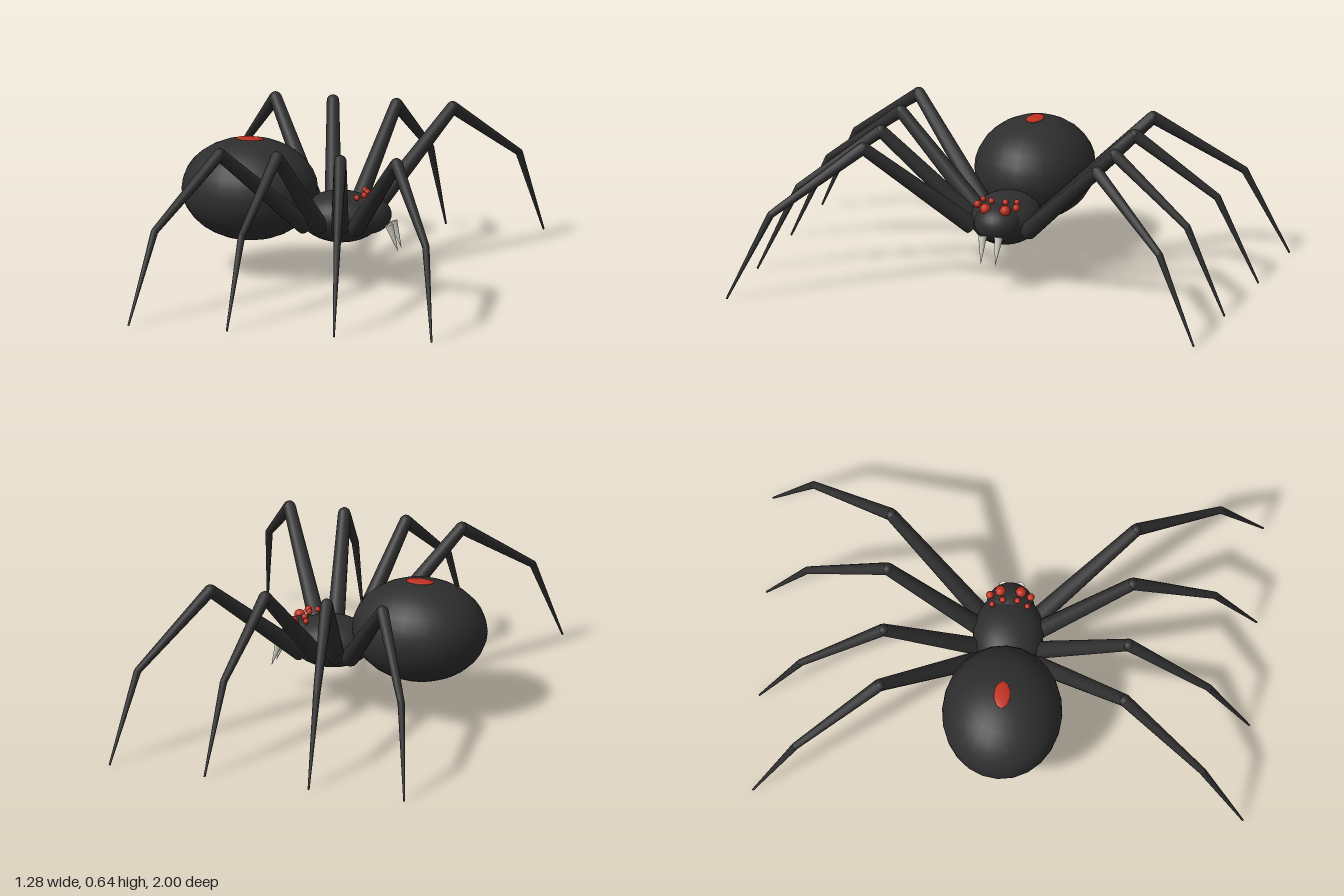
import * as THREE from 'three';

const V = (x, y, z) => new THREE.Vector3(x, y, z);
const mat = (color) => new THREE.MeshStandardMaterial({ color });

export function createModel() {
  const spider = new THREE.Group();
  spider.name = 'spider';
  const dark = mat(0x2e2e2e), red = mat(0xc0301f), ivory = mat(0xd2d2c4);

  function ellipsoid(name, center, radii, material, w = 24, h = 16) {
    const mesh = new THREE.Mesh(new THREE.SphereGeometry(1, w, h), material);
    mesh.name = name;
    mesh.position.copy(center);
    mesh.scale.copy(radii);
    spider.add(mesh);
  }

  // Tapered round bar running from a to b
  function taper(name, a, b, ra, rb, material, parent) {
    const dir = b.clone().sub(a);
    const mesh = new THREE.Mesh(new THREE.CylinderGeometry(rb, ra, dir.length(), 12), material);
    mesh.name = name;
    mesh.position.copy(a).add(b).multiplyScalar(0.5);
    mesh.quaternion.setFromUnitVectors(V(0, 1, 0), dir.normalize());
    parent.add(mesh);
  }

  // Body, with the head toward +x
  ellipsoid('abdomen', V(-0.36, 0.355, 0), V(0.28, 0.21, 0.245), dark);
  ellipsoid('abdomenMark', V(-0.36, 0.562, 0), V(0.058, 0.008, 0.033), red);
  ellipsoid('thorax', V(0.02, 0.26, 0), V(0.17, 0.105, 0.145), dark);
  ellipsoid('head', V(0.13, 0.272, 0), V(0.1, 0.078, 0.098), dark);

  // Legs: x of hip, knee, ankle and tip, mirrored across z
  const legs = [
    [0.11, 0.37, 0.57, 0.633],
    [0.045, 0.135, 0.2, 0.225],
    [-0.04, -0.13, -0.2, -0.222],
    [-0.1, -0.37, -0.563, -0.633],
  ];
  for (const side of [1, -1]) {
    legs.forEach(([hip, knee, ankle, tip], i) => {
      const leg = new THREE.Group();
      leg.name = `${side > 0 ? 'front' : 'back'}Leg${i + 1}`;
      const points = [V(hip, 0.24, 0.12 * side), V(knee, 0.615, 0.5 * side),
        V(ankle, 0.36, 0.83 * side), V(tip, 0.002, 0.998 * side)];
      const radii = [0.037, 0.026, 0.015, 0.004];
      ['upperLeg', 'middleLeg', 'lowerLeg'].forEach((name, k) =>
        taper(name, points[k], points[k + 1], radii[k], radii[k + 1], dark, leg));
      // Joints fill the bends
      for (const k of [1, 2]) {
        const joint = new THREE.Mesh(new THREE.SphereGeometry(radii[k] * 0.97, 12, 8), dark);
        joint.name = k === 1 ? 'knee' : 'ankle';
        joint.position.copy(points[k]);
        leg.add(joint);
      }
      spider.add(leg);
    });

    // Four eyes and one fang on each side: x, y, z, radius
    for (const [x, y, z, r] of [
      [0.17, 0.337, 0.042, 0.023],
      [0.147, 0.347, 0.083, 0.016],
      [0.125, 0.359, 0.03, 0.013],
      [0.104, 0.357, 0.072, 0.012],
    ]) ellipsoid('eye', V(x, y, z * side), V(r, r, r), red, 12, 8);
    taper('fang', V(0.23, 0.242, 0.034 * side), V(0.267, 0.13, 0.031 * side), 0.018, 0, ivory, spider);
  }
  return spider;
}
